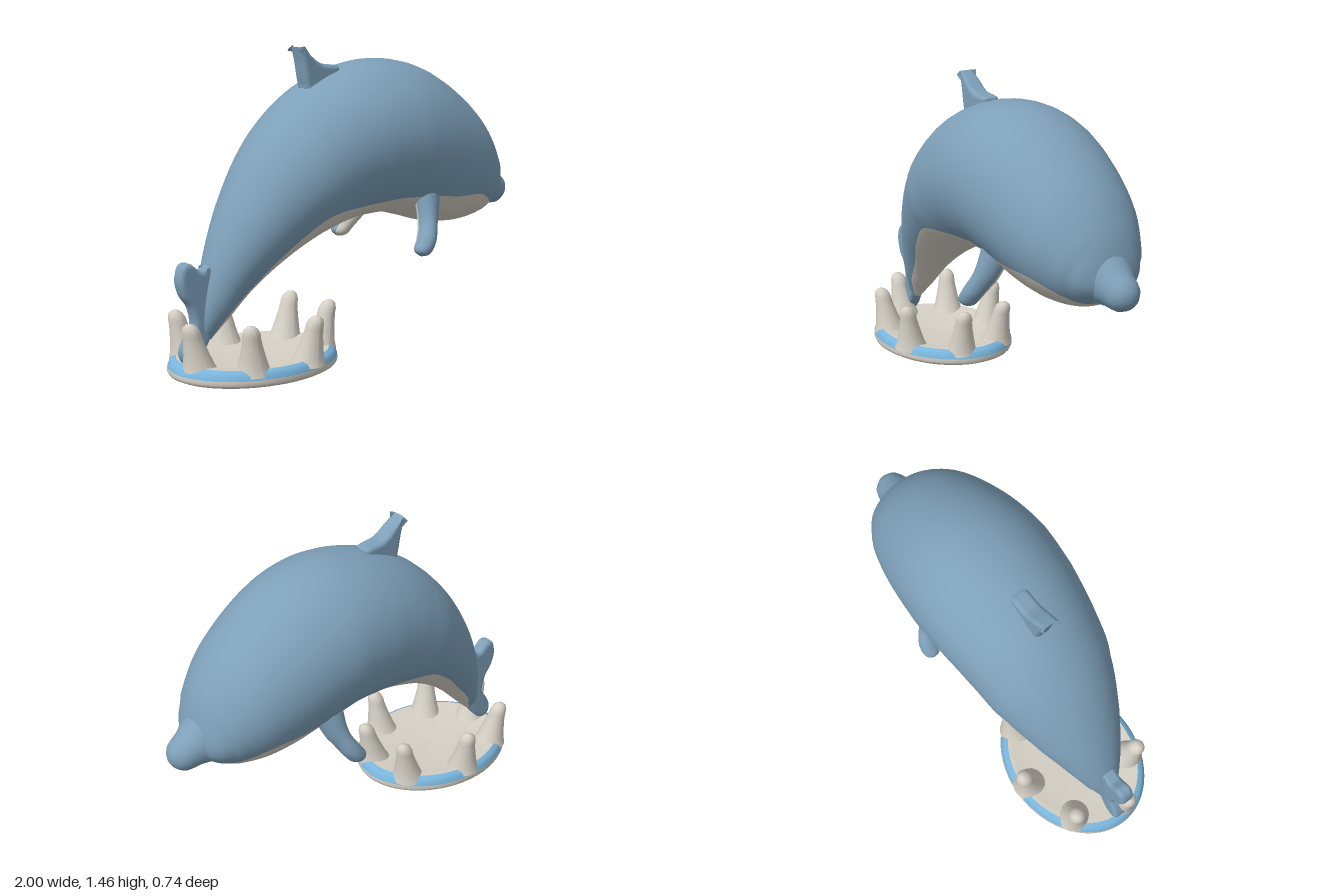
import * as THREE from 'three';

const mat = (name, color, side = THREE.FrontSide) => {
  const m = new THREE.MeshStandardMaterial({ color, side });
  m.name = name;
  return m;
};

// Skin stretched over egg-shaped sections. Each station: [top, bottom, half width, belly half angle].
// Material group 0 is the belly side, group 1 the back side.
function loft(stations, side, steps) {
  const curve = pick => new THREE.CatmullRomCurve3(stations.map(pick));
  const v = p => new THREE.Vector3(p[0], p[1], p[2] || 0);
  const top = curve(s => v(s[0])), bottom = curve(s => v(s[1])), info = curve(s => new THREE.Vector3(s[2], s[3], 0));
  const nb = 16, nk = 32, n = nb + nk, pos = [], belly = [], back = [];
  for (let i = 0; i <= steps; i++) {
    const T = top.getPoint(i / steps), B = bottom.getPoint(i / steps), I = info.getPoint(i / steps);
    const C = T.clone().add(B).multiplyScalar(0.5), H = T.clone().sub(C), b = Math.max(I.y, 0.03);
    for (let j = 0; j < n; j++) {
      const a = j < nb ? -b + (2 * b * j) / nb : b + ((2 * Math.PI - 2 * b) * (j - nb)) / nk;
      const p = C.clone().addScaledVector(H, -Math.cos(a)).addScaledVector(side, Math.sin(a) * Math.max(I.x, 0));
      pos.push(p.x, p.y, p.z);
    }
  }
  for (let i = 0; i < steps; i++) for (let j = 0; j < n; j++) {
    const k = (j + 1) % n, a = i * n + j, b = i * n + k, c = a + n, d = b + n;
    (j < nb ? belly : back).push(a, c, b, b, c, d);
  }
  const g = new THREE.BufferGeometry();
  g.setAttribute('position', new THREE.Float32BufferAttribute(pos, 3));
  g.setIndex([...belly, ...back]);
  g.addGroup(0, belly.length, 0);
  g.addGroup(belly.length, back.length, 1);
  g.computeVertexNormals();
  return g;
}

// Thin rounded fin in the xy plane
function finPlate(points, half) {
  const p = points.map(q => new THREE.Vector2(q[0], q[1]));
  const shape = new THREE.Shape().moveTo(p[0].x, p[0].y).splineThru([...p.slice(1), p[0]]);
  const g = new THREE.ExtrudeGeometry(shape, {
    depth: half, bevelThickness: half / 2, bevelSize: 0.022, bevelOffset: -0.022, bevelSegments: 4, curveSegments: 40,
  });
  return g.translate(0, 0, -half / 2);
}

const lathe = (pts, segs = 64) => {
  const g = new THREE.LatheGeometry(pts.map(p => new THREE.Vector2(p[0], p[1])), segs);
  return g;
};

export function createModel() {
  const root = new THREE.Group();
  const blue = mat('bodyBlue', 0x7d9fb8);
  const white = mat('bellyWhite', 0xd5d0c5);
  const water = mat('waterBlue', 0x78b4db);
  const add = (name, geo, m, parent = root) => {
    const mesh = new THREE.Mesh(geo, m);
    mesh.name = name;
    parent.add(mesh);
    return mesh;
  };

  // Leaping body, tail to head
  add('body', loft([
    [[-0.90, 0.20], [-0.82, 0.17], 0.03, 0.8],
    [[-0.86, 0.40], [-0.74, 0.25], 0.09, 1.0],
    [[-0.82, 0.54], [-0.62, 0.37], 0.14, 0.95],
    [[-0.72, 0.77], [-0.46, 0.485], 0.215, 1.03],
    [[-0.55, 1.035], [-0.27, 0.58], 0.29, 1.06],
    [[-0.33, 1.24], [-0.09, 0.63], 0.335, 0.82],
    [[-0.10, 1.345], [0.04, 0.643], 0.36, 0.74],
    [[0.12, 1.38], [0.15, 0.64], 0.37, 0.75],
    [[0.34, 1.345], [0.27, 0.61], 0.362, 0.85],
    [[0.55, 1.235], [0.42, 0.565], 0.335, 0.99],
    [[0.72, 1.09], [0.58, 0.545], 0.29, 1.14],
    [[0.83, 0.93], [0.72, 0.56], 0.22, 1.0],
    [[0.875, 0.80], [0.81, 0.60], 0.15, 0.35],
    [[0.89, 0.71], [0.87, 0.65], 0.06, 0.05],
    [[0.892, 0.682], [0.892, 0.68], 0.001, 0.03],
  ], new THREE.Vector3(0, 0, 1), 84), [white, blue]);

  // Snout
  const snout = add('snout', lathe([
    [0.125, 0], [0.108, 0.05], [0.09, 0.09], [0.082, 0.125], [0.072, 0.155], [0.05, 0.18], [0.025, 0.193], [0, 0.197],
  ], 32), blue);
  snout.position.set(0.815, 0.715, 0);
  snout.rotation.z = -Math.PI / 2 - 0.36;

  // Dorsal fin and tail fluke
  add('dorsalFin', finPlate([
    [-0.33, 1.455], [-0.27, 1.42], [-0.2, 1.375], [-0.1, 1.355], [-0.14, 1.29], [-0.27, 1.23], [-0.295, 1.29], [-0.312, 1.38],
  ], 0.045), blue);
  add('tailFluke', finPlate([
    [-0.83, 0.51], [-0.88, 0.495], [-0.93, 0.533], [-0.97, 0.525], [-0.988, 0.46], [-0.97, 0.39], [-0.93, 0.33],
    [-0.915, 0.25], [-0.95, 0.19], [-0.975, 0.13], [-0.955, 0.08], [-0.9, 0.085], [-0.85, 0.15], [-0.8, 0.28],
  ], 0.036), blue);

  // Flippers, pale on the inner side
  const flipper = loft([
    [[0.28, 0.75, 0.285], [0.28, 0.70, 0.17], 0.07, 1.3],
    [[0.255, 0.64, 0.315], [0.255, 0.60, 0.21], 0.05, 1.3],
    [[0.21, 0.54, 0.355], [0.21, 0.53, 0.25], 0.045, 1.2],
    [[0.172, 0.485, 0.352], [0.172, 0.48, 0.275], 0.036, 1.1],
    [[0.163, 0.467, 0.322], [0.163, 0.467, 0.31], 0.004, 1.1],
  ], new THREE.Vector3(-0.93, 0.37, 0), 24);
  for (const s of [1, -1]) {
    const f = add(s > 0 ? 'flipperFront' : 'flipperBack', flipper, [white, blue]);
    f.scale.z = s;
  }

  // Oval splash base with a blue rim band
  const splash = new THREE.Group();
  splash.name = 'splash';
  root.add(splash);
  const base = new THREE.Group();
  base.name = 'splashBase';
  base.position.x = -0.582;
  base.scale.z = 0.8;
  splash.add(base);
  add('baseUnderside', lathe([[0, 0], [0.395, 0], [0.412, 0.008], [0.418, 0.02], [0.416, 0.036]]), white, base);
  add('rimBand', lathe([[0.416, 0.036], [0.409, 0.055], [0.397, 0.068], [0.375, 0.076]]), water, base);
  add('baseTop', lathe([[0.375, 0.076], [0.34, 0.075], [0.26, 0.06], [0, 0.05]]), white, base);

  // Water spouts leaning outward around the rim, placed by their tips
  const tips = [[-0.955, 0.05], [-0.77, 0.25], [-0.44, 0.285], [-0.215, 0.09], [-0.25, -0.16], [-0.56, -0.295], [-0.87, -0.2]];
  for (const [x, z] of tips) {
    const dx = x + 0.582, len = Math.hypot(dx, z), lx = (dx / len) * 0.065, lz = (z / len) * 0.045;
    const g = lathe([
      [0.085, 0.045], [0.07, 0.08], [0.058, 0.13], [0.047, 0.18], [0.042, 0.215], [0.041, 0.235], [0.033, 0.257], [0.018, 0.27], [0, 0.274],
    ], 24);
    const p = g.attributes.position;
    for (let i = 0; i < p.count; i++) {
      const k = 1 - p.getY(i) / 0.25;
      p.setX(i, p.getX(i) - lx * k);
      p.setZ(i, p.getZ(i) - lz * k);
    }
    g.computeVertexNormals();
    add('spout', g, white, splash).position.set(x, 0, z);
  }
  return root;
}
